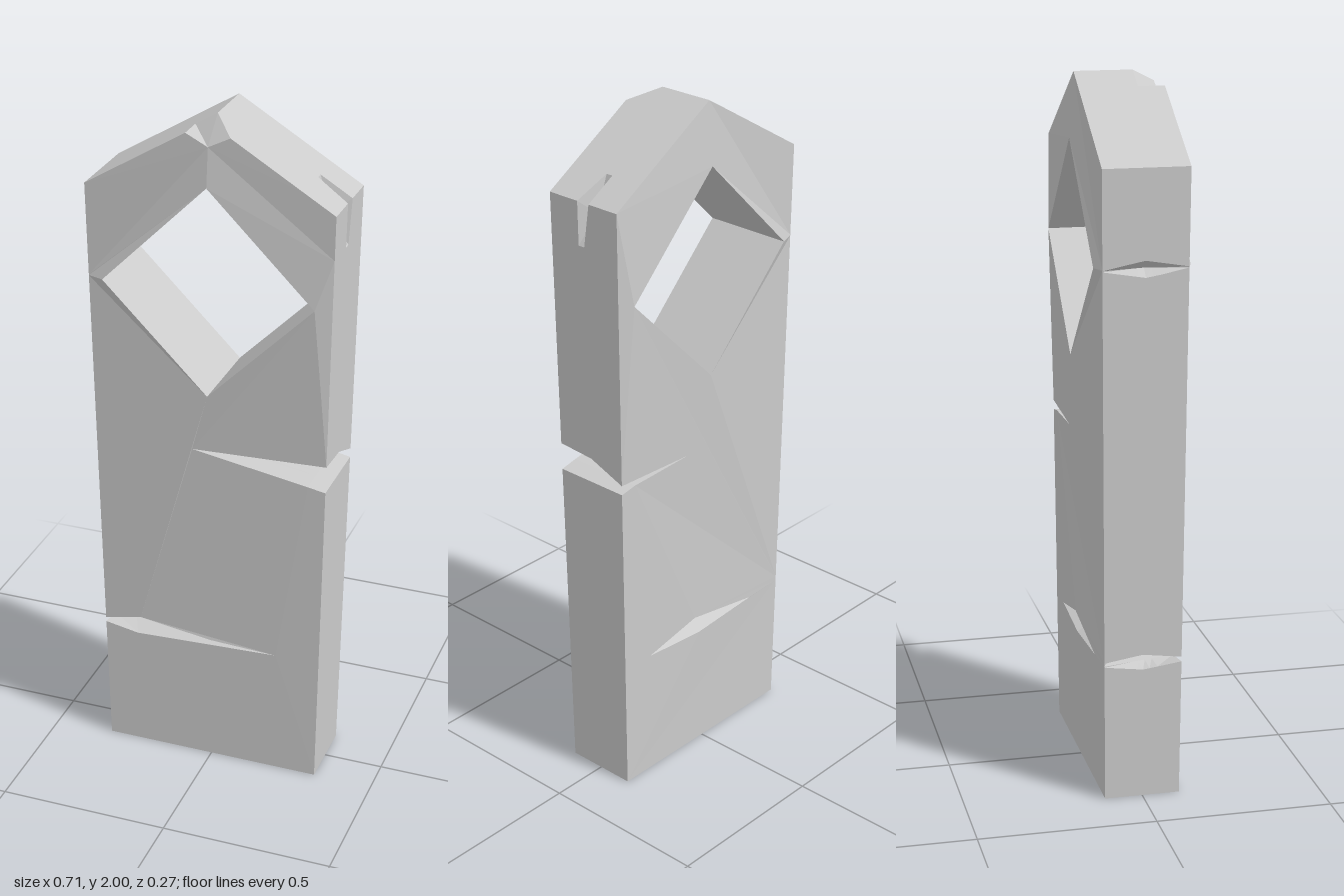
import * as THREE from 'three';

const clamp = THREE.MathUtils.clamp;
const lerp = THREE.MathUtils.lerp;
const mix = (a, b, k) => [lerp(a[0], b[0], k), lerp(a[1], b[1], k)];

// Half width of the slab at a height, and half depth at a point of its face
const edge = (y) => 0.325 + 0.03 * y / 1.785;
const halfDepth = (x, y) =>
  0.107 + 0.0073 * Math.min(y, 1.785) + (y < 1.2 ? 0.008 * y * clamp(1 - Math.abs(x) / 0.33, 0, 1) : 0);

// Outline of the stone at depth t (1 = front, -1 = back), counterclockwise from the front
function outline(t) {
  const k = (t + 1) / 2;
  const split = Math.max(0, 1 - Math.abs(t) / 0.17);
  const chip = clamp((t - 0.375) / 0.625, 0, 1);
  const leaf = 1 - Math.abs(t);
  const right = (y) => [edge(y), y];
  const left = (y) => [-edge(y), y];
  const nick = 0.003 + 0.02 * leaf;
  const gap = 0.015 * leaf;
  return [
    left(0), right(0),
    // long notch in the left edge
    right(0.962), [0.29, 0.972], mix([0.08, 0.985], [-0.05, 1.033], k),
    right(t > 0 ? 1.035 + 0.008 * t : 1.035 + 0.045 * t),
    // thin split through the shoulder
    right(1.66), mix([0.355, 1.785], [0.3, 1.74], split), [0.265, 1.8395],
    // chipped peak
    [0.063, 1.962], [0, 2 - 0.07 * chip], [-0.063, 1.962],
    [-0.355, 1.785],
    // small nick beside the window
    left(1.515 + nick), [-edge(1.515) + 0.025 * leaf, 1.515], left(1.515 - nick),
    // low crack, closing towards the back
    left(0.41 + gap),
    mix(left(0.408), [-0.22, 0.435], k),
    mix(left(0.405), [0, 0.405], k),
    mix(left(0.402), [0.2, 0.395], k),
    mix(left(0.399), [-0.23, 0.378], k),
    left(0.396 - gap),
  ];
}

function flatMesh(name, triangles) {
  const geometry = new THREE.BufferGeometry().setFromPoints(triangles.flat());
  geometry.computeVertexNormals();
  const material = new THREE.MeshStandardMaterial({ color: 0xcccccc, flatShading: true });
  const mesh = new THREE.Mesh(geometry, material);
  mesh.name = name;
  return mesh;
}

// Walls joining a row of loops that run from front to back
function walls(loops) {
  const triangles = [];
  for (let r = 0; r + 1 < loops.length; r++) {
    const f = loops[r], b = loops[r + 1];
    f.forEach((p, i) => {
      const j = (i + 1) % f.length;
      triangles.push([p, b[i], b[j]], [p, b[j], f[j]]);
    });
  }
  return triangles;
}

// Flat face with openings, turned to the given side
function face(contour, holes, side) {
  const all = [contour, ...holes].flat();
  const flat = (loop) => loop.map((p) => new THREE.Vector2(p.x, p.y));
  return THREE.ShapeUtils.triangulateShape(flat(contour), holes.map(flat)).map((ids) => {
    const [a, b, c] = ids.map((i) => all[i]);
    const area = (b.x - a.x) * (c.y - a.y) - (b.y - a.y) * (c.x - a.x);
    return area * side > 0 ? [a, b, c] : [a, c, b];
  });
}

export function createModel() {
  const group = new THREE.Group();
  group.name = 'standingStone';

  // Outer body
  const loops = [1, 0.375, 0.17, 0, -0.17, -1].map((t) =>
    outline(t).map(([x, y]) => new THREE.Vector3(x, y, t * halfDepth(x, y))));

  // Diamond window, clockwise so its walls face inwards
  const diamond = [[0, 1.82], [0.305, 1.515], [0, 1.21], [-0.305, 1.515]];
  const [frontRim, backRim] = [0.133, -0.133].map((z) =>
    diamond.map(([x, y]) => new THREE.Vector3(x, y, z)));

  // Leaf shaped crack sunk into the back
  const leafRim = [[-0.21, 0.39], [0.02, 0.375], [0.23, 0.39], [0.04, 0.432]].map(([x, y]) =>
    new THREE.Vector3(x, y, -halfDepth(x, y)));
  const pit = new THREE.Vector3(0.03, 0.4, -0.06);
  const crack = leafRim.map((p, i) => [p, pit, leafRim[(i + 1) % 4]]);

  group.add(
    flatMesh('stoneSides', walls(loops)),
    flatMesh('windowWalls', walls([frontRim, backRim])),
    flatMesh('frontFace', face(loops[0], [frontRim], 1)),
    flatMesh('backFace', face(loops[loops.length - 1], [backRim, leafRim], -1)),
    flatMesh('backCrack', crack),
  );
  return group;
}
